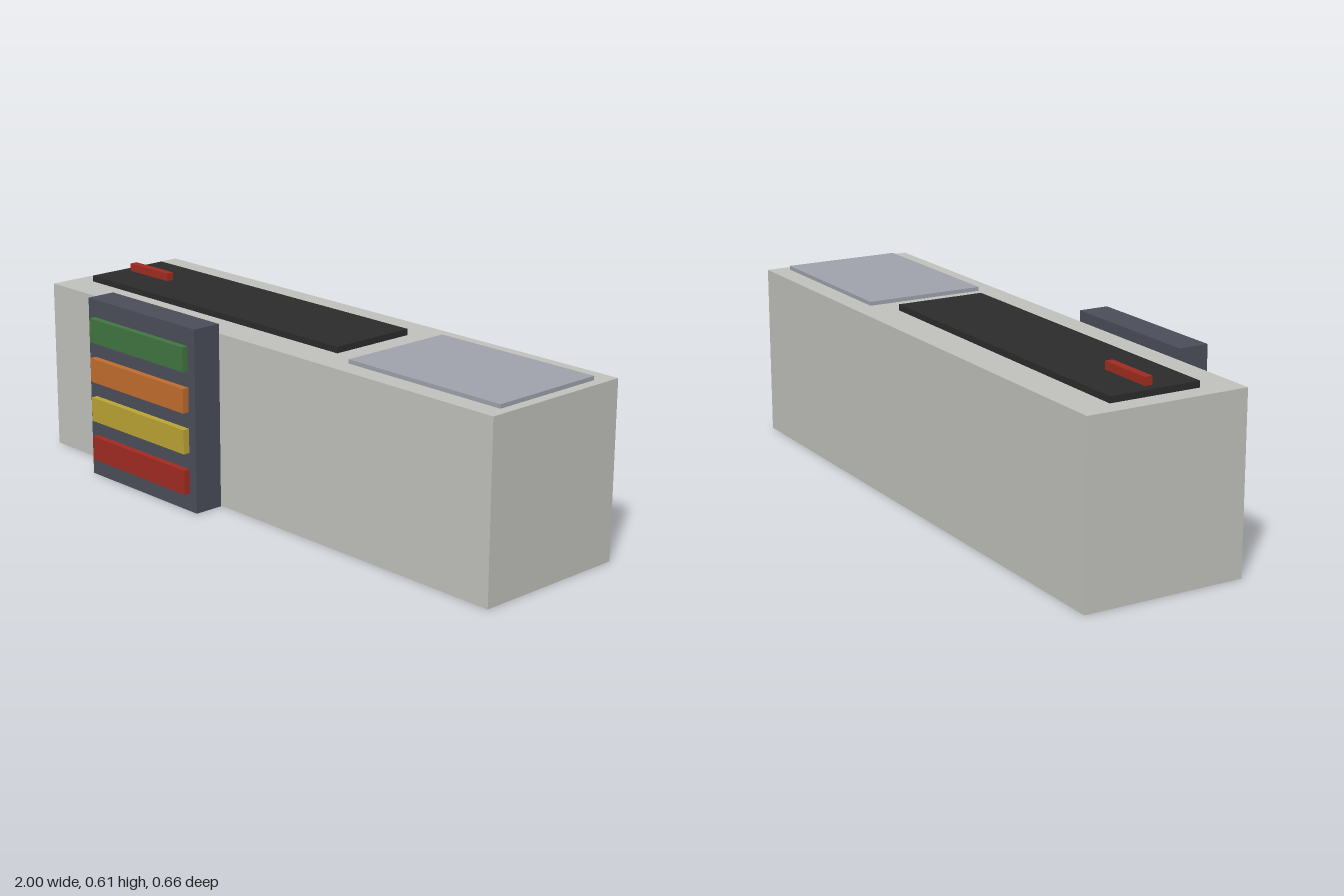
import * as THREE from 'three';

const mat = (name, color) => {
  const m = new THREE.MeshStandardMaterial({ color });
  m.name = name;
  return m;
};

export function createModel() {
  const group = new THREE.Group();
  group.name = 'checkoutCounter';

  const mats = {
    counter: mat('warm light grey', 0xc0c0bb),
    rack: mat('slate grey', 0x4a4e58),
    belt: mat('belt black', 0x2b2b2b),
    plate: mat('steel grey', 0x9fa2ab),
    red: mat('red', 0xa02b21),
    yellow: mat('yellow', 0xbaa335),
    orange: mat('orange', 0xc06c2d),
    green: mat('green', 0x417541),
  };

  // Box given by its lower and upper limits on each axis
  const box = (name, material, [x0, x1], [y0, y1], [z0, z1]) => {
    const mesh = new THREE.Mesh(new THREE.BoxGeometry(x1 - x0, y1 - y0, z1 - z0), material);
    mesh.position.set((x0 + x1) / 2, (y0 + y1) / 2, (z0 + z1) / 2);
    mesh.name = name;
    group.add(mesh);
  };

  // Counter body with conveyor belt, divider bar and bagging plate on top
  const top = 0.567;
  box('counterBody', mats.counter, [-1, 1], [0, top], [-0.33, 0.203]);
  box('conveyorBelt', mats.belt, [-0.934, 0.266], [top, 0.587], [-0.213, 0.087]);
  box('dividerBar', mats.red, [-0.9, -0.704], [0.587, 0.613], [-0.076, -0.05]);
  box('baggingPlate', mats.plate, [0.366, 0.966], [top, 0.58], [-0.263, 0.137]);

  // Display rack standing just in front of the counter
  box('displayRack', mats.rack, [-0.667, -0.137], [0, 0.6], [0.208, 0.308]);

  // Rows of goods, bottom to top
  ['red', 'yellow', 'orange', 'green'].forEach((color, i) => {
    const y = 0.06 + i * 0.1337;
    box(`${color}GoodsRow`, mats[color], [-0.637, -0.169], [y, y + 0.08], [0.308, 0.33]);
  });

  return group;
}
